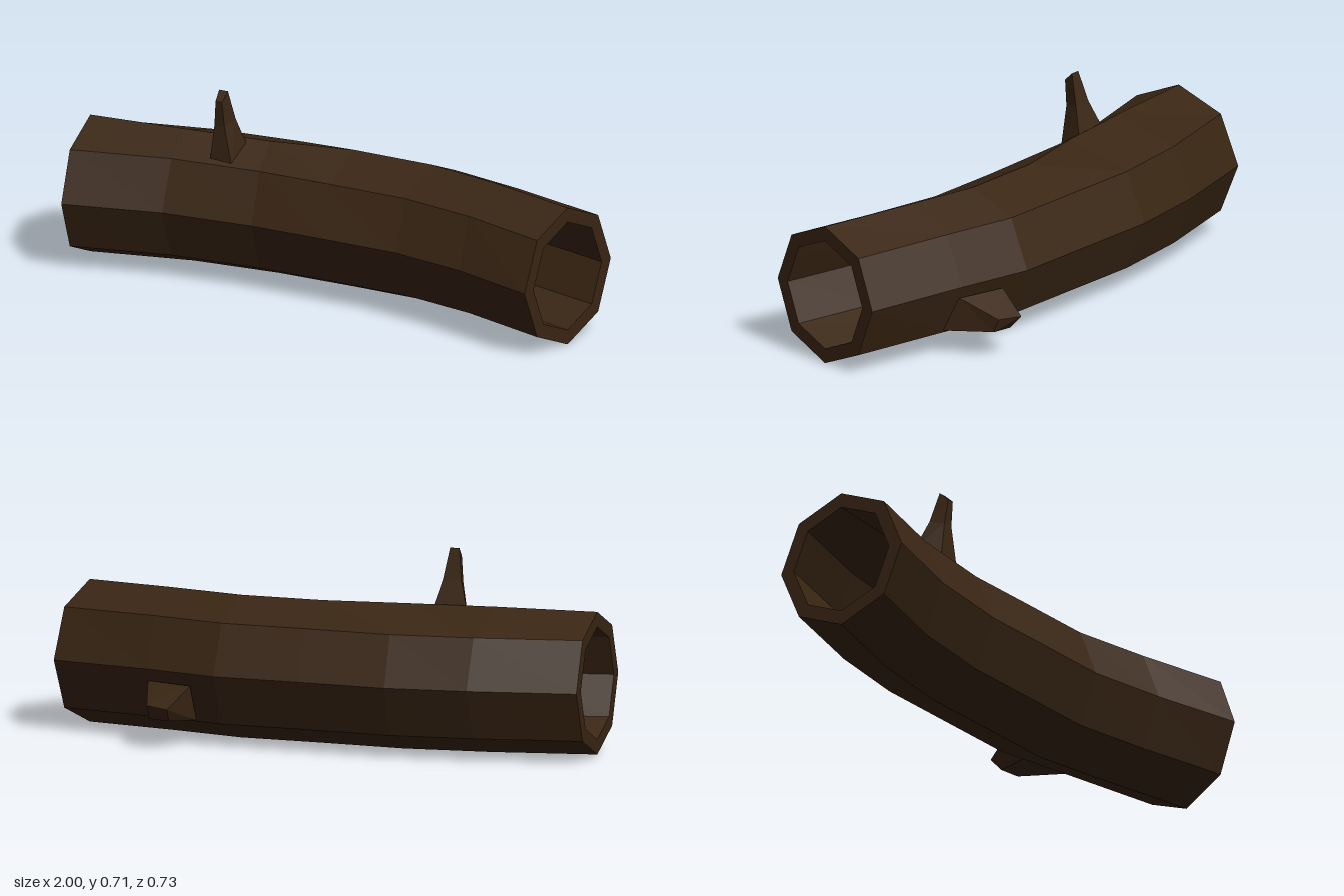
import * as THREE from 'three';

const bark = new THREE.MeshStandardMaterial({ color: 0x3a2614, flatShading: true });

// Skin a list of equal-length loops (counter-clockwise about the direction of travel)
function loft(name, loops, capEnd) {
  const pos = [];
  const tri = (...pts) => pts.forEach((p) => pos.push(...p));
  for (let k = 0; k < loops.length - 1; k++) {
    const a = loops[k], b = loops[k + 1], n = a.length;
    for (let i = 0; i < n; i++) {
      const j = (i + 1) % n;
      tri(a[i], a[j], b[j]);
      tri(a[i], b[j], b[i]);
    }
  }
  if (capEnd) {
    const e = loops[loops.length - 1];
    for (let i = 1; i < e.length - 1; i++) tri(e[0], e[i], e[i + 1]);
  }
  const g = new THREE.BufferGeometry();
  g.setAttribute('position', new THREE.Float32BufferAttribute(pos, 3));
  g.computeVertexNormals();
  const mesh = new THREE.Mesh(g, bark);
  mesh.name = name;
  return mesh;
}

// Stations along the bent log: back x, back z, front x, front z, centre y, ridge shift in z
const stations = [
  [-1.0, -0.16, -0.955, 0.34, 0.266, 0],
  [-0.62, -0.25, -0.6, 0.25, 0.266, 0.06],
  [-0.32, -0.285, -0.26, 0.215, 0.264, 0.06],
  [0.01, -0.284, 0.02, 0.217, 0.265, 0],
  [0.33, -0.28, 0.32, 0.22, 0.264, 0],
  [0.61, -0.215, 0.61, 0.275, 0.264, 0],
  [1.0, -0.12, 0.925, 0.367, 0.257, 0],
];

// Eight-sided ring at a station, shrunk by s for the hollow
function ring([bx, bz, fx, fz, cy, shift], s) {
  const pts = [];
  for (let i = 0; i < 8; i++) {
    const t = (i / 8) * Math.PI * 2;
    const u = 0.5 + 0.5 * s * Math.sin(t);
    const dz = i === 0 ? shift : 0;
    pts.push([bx + (fx - bx) * u, cy + 0.254 * s * Math.cos(t), bz + (fz - bz) * u + dz]);
  }
  return pts;
}

export function createModel() {
  const model = new THREE.Group();
  model.name = 'hollowLog';

  // Outer bark, right rim, hollow and left rim as one closed skin
  const outer = stations.map((s) => ring(s, 1));
  const inner = stations.map((s) => ring(s, 0.79)).reverse();
  model.add(loft('log', [...outer, ...inner, outer[0]], false));

  // Thin twig standing on top
  model.add(loft('topTwig', [
    [[-0.47, 0.44, 0.14], [-0.38, 0.44, 0.14], [-0.37, 0.5, 0.05], [-0.5, 0.5, 0.05]],
    [[-0.45, 0.585, 0.14], [-0.41, 0.585, 0.14], [-0.395, 0.6, 0.085], [-0.465, 0.6, 0.085]],
    [[-0.44, 0.678, 0.15], [-0.415, 0.678, 0.15], [-0.41, 0.71, 0.115], [-0.445, 0.71, 0.115]],
  ], true));

  // Broken stub on the back
  model.add(loft('backStub', [
    [[0.43, 0.22, -0.25], [0.61, 0.22, -0.2], [0.64, 0.09, -0.115], [0.43, 0.09, -0.19]],
    [[0.47, 0.15, -0.366], [0.56, 0.155, -0.335], [0.56, 0.105, -0.315], [0.48, 0.103, -0.325]],
  ], true));

  return model;
}
